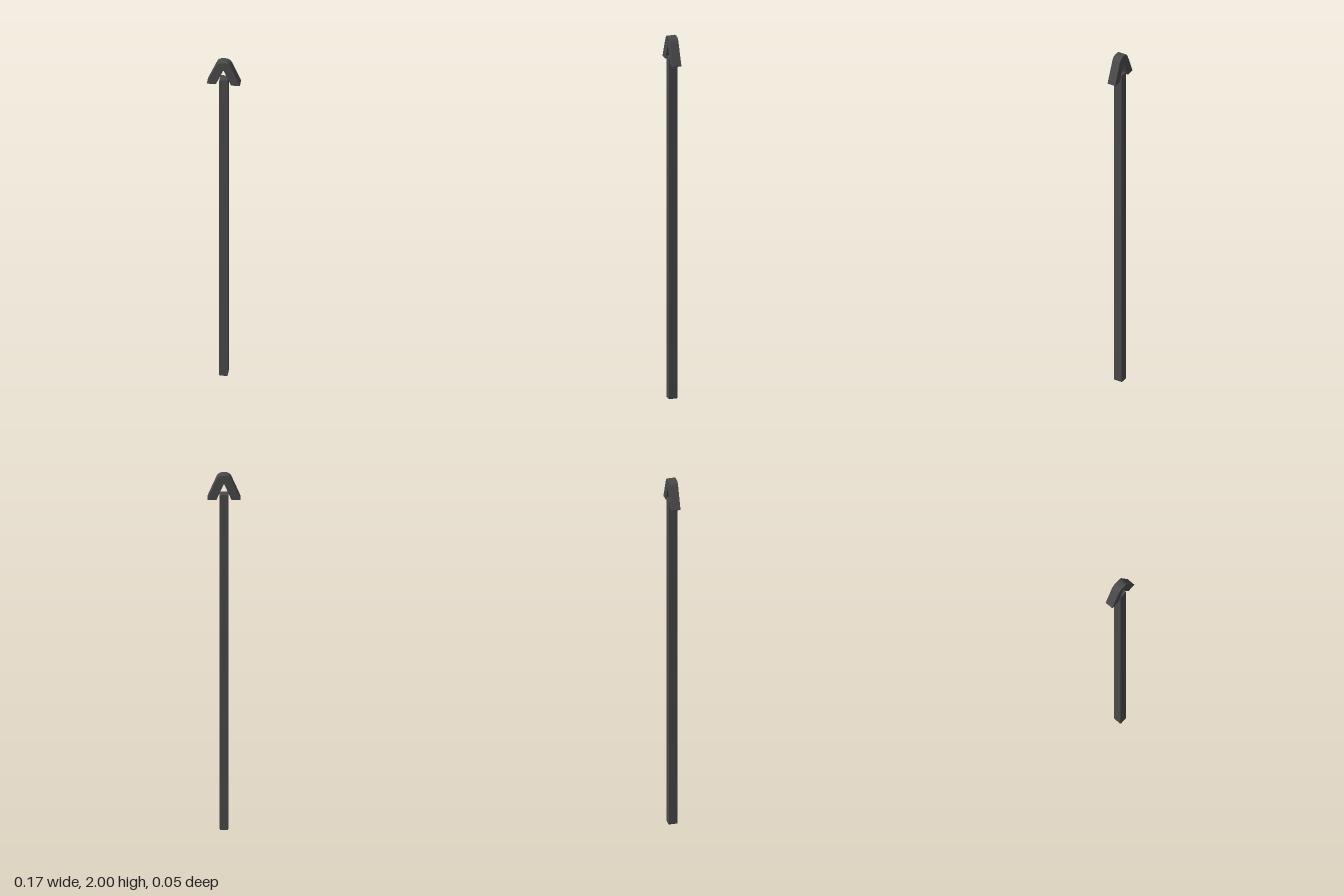
import * as THREE from 'three';

const DEPTH = 0.045;

// Flat outline with each corner [x, y, radius] rounded, extruded evenly about z = 0
function roundedPlate(name, corners, material) {
  const shape = new THREE.Shape();
  const pts = corners.map(([x, y]) => new THREE.Vector2(x, y));
  const n = pts.length;
  corners.forEach(([, , r], i) => {
    const p = pts[i];
    const toward = (q) => p.clone().add(q.clone().sub(p).setLength(r));
    const a = toward(pts[(i + n - 1) % n]);
    const b = toward(pts[(i + 1) % n]);
    if (i === 0) shape.moveTo(a.x, a.y);
    else shape.lineTo(a.x, a.y);
    shape.quadraticCurveTo(p.x, p.y, b.x, b.y);
  });
  shape.closePath();
  const geometry = new THREE.ExtrudeGeometry(shape, { depth: DEPTH, bevelEnabled: false, curveSegments: 5 });
  geometry.translate(0, 0, -DEPTH / 2);
  const mesh = new THREE.Mesh(geometry, material);
  mesh.name = name;
  return mesh;
}

export function createModel() {
  const group = new THREE.Group();
  group.name = 'arrow';
  const material = new THREE.MeshStandardMaterial({ color: 0x4a4a4a });

  // Long square shaft with softened ends
  const w = 0.0225, top = 1.89, r = 0.008;
  group.add(roundedPlate('shaft', [[-w, 0, r], [w, 0, r], [w, top, r], [-w, top, r]], material));

  // Chevron head, open underneath, with a rounded tip
  group.add(roundedPlate('arrowHead', [
    [0.039, 1.862, 0.006], [0.087, 1.862, 0.006],
    [0.029, 2.0, 0.024], [-0.029, 2.0, 0.024],
    [-0.087, 1.862, 0.006], [-0.039, 1.862, 0.006],
    [0, 1.955, 0.004],
  ], material));

  return group;
}
